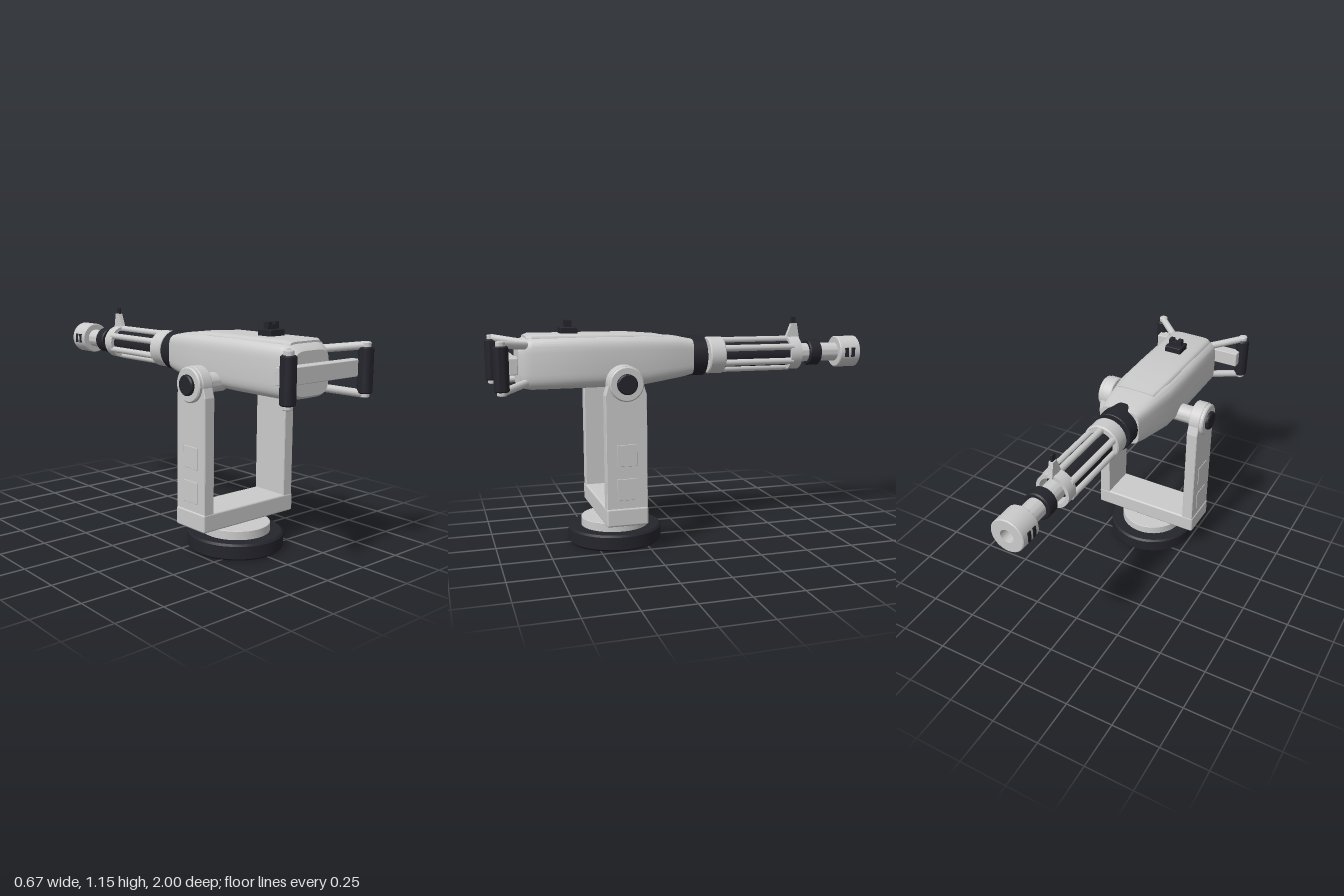
import * as THREE from 'three';
import { toCreasedNormals } from 'three/addons/utils/BufferGeometryUtils.js';
import { RoundedBoxGeometry } from 'three/addons/geometries/RoundedBoxGeometry.js';

const grey = new THREE.MeshStandardMaterial({ color: 0xcccccc });
const dark = new THREE.MeshStandardMaterial({ color: 0x24242c });
const AXIS_Y = 0.955; // barrel height
const MOUNT_Z = 0.38; // centre of the base and yoke
const PIVOT_Y = 0.855;

function add(parent, name, geometry, material, x = 0, y = 0, z = 0) {
  const mesh = new THREE.Mesh(geometry, material);
  mesh.name = name;
  mesh.position.set(x, y, z);
  parent.add(mesh);
  return mesh;
}

// Box given by its min and max corners
function box(parent, name, material, [x0, y0, z0], [x1, y1, z1], r = 0.006) {
  const geo = new RoundedBoxGeometry(x1 - x0, y1 - y0, z1 - z0, 2, r);
  return add(parent, name, geo, material, (x0 + x1) / 2, (y0 + y1) / 2, (z0 + z1) / 2);
}

// Turned part from [radius, height] points, sharp at the corners
function turned(points, segments = 40) {
  const geo = new THREE.LatheGeometry(points.map(([r, h]) => new THREE.Vector2(r, h)), segments);
  return toCreasedNormals(geo, 0.6);
}

// Turned part along the barrel; heights run towards the muzzle
function barrelPart(parent, name, material, points) {
  return add(parent, name, turned(points).rotateX(-Math.PI / 2), material, 0, AXIS_Y, 0);
}

// Solid disc profile with a small bevel
function disc(r, h0, h1, b = 0.006) {
  return [[0, h0], [r - b, h0], [r, h0 + b], [r, h1 - b], [r - b, h1], [0, h1]];
}

// Round rod between two points
function rod(parent, name, material, from, to, r) {
  const a = new THREE.Vector3(...from), b = new THREE.Vector3(...to);
  const dir = b.clone().sub(a);
  const mesh = add(parent, name, new THREE.CylinderGeometry(r, r, dir.length(), 16), material);
  mesh.position.copy(a).add(b).multiplyScalar(0.5);
  mesh.quaternion.setFromUnitVectors(new THREE.Vector3(0, 1, 0), dir.normalize());
  return mesh;
}

// Rounded-rectangle loft; sections are [z, halfWidth, bottom, top], from front to back
function loft(sections, power = 4.5, n = 48) {
  const pos = [], index = [];
  const bend = (v) => Math.sign(v) * Math.abs(v) ** (2 / power);
  for (const [z, w, y0, y1] of sections) {
    for (let j = 0; j < n; j++) {
      const a = (j / n) * Math.PI * 2;
      pos.push(w * bend(Math.cos(a)), (y0 + y1) / 2 + ((y1 - y0) / 2) * bend(Math.sin(a)), z);
    }
  }
  const last = (sections.length - 1) * n;
  for (const [z, , y0, y1] of [sections[0], sections.at(-1)]) pos.push(0, (y0 + y1) / 2, z);
  const c0 = last + n, c1 = c0 + 1;
  for (let j = 0; j < n; j++) {
    const k = (j + 1) % n;
    for (let i = 0; i < last; i += n) index.push(i + j, i + n + j, i + k, i + k, i + n + j, i + n + k);
    index.push(c0, j, k, c1, last + k, last + j);
  }
  const geo = new THREE.BufferGeometry();
  geo.setAttribute('position', new THREE.Float32BufferAttribute(pos, 3));
  geo.setIndex(index);
  return toCreasedNormals(geo, 0.6);
}

function makeMount() {
  const g = new THREE.Group();
  g.name = 'mount';
  add(g, 'basePlate', turned(disc(0.243, 0, 0.083, 0.01), 56), dark, 0, 0, MOUNT_Z);
  add(g, 'turntable', turned(disc(0.175, 0.08, 0.128, 0.002), 48), grey, 0, 0, MOUNT_Z);
  box(g, 'yokeCrossbar', grey, [-0.302, 0.148, 0.275], [0.302, 0.24, 0.485], 0.01);

  // Arm outline seen from the side, with a round head
  const outline = new THREE.Shape();
  outline.moveTo(-0.1, 0.22);
  outline.lineTo(0.1, 0.22);
  outline.lineTo(0.1, 0.8);
  outline.absarc(0, PIVOT_Y, 0.086, -0.1, Math.PI + 0.1, false);
  outline.lineTo(-0.1, 0.8);
  outline.closePath();
  const armGeo = new THREE.ExtrudeGeometry(outline, {
    depth: 0.052, bevelThickness: 0.004, bevelSize: 0.003, bevelSegments: 1, curveSegments: 24,
  }).rotateY(Math.PI / 2);

  for (const side of [1, -1]) {
    const arm = new THREE.Group();
    arm.name = side > 0 ? 'leftYokeArm' : 'rightYokeArm';
    arm.scale.x = side;
    add(arm, 'arm', armGeo, grey, 0.241, 0, MOUNT_Z);
    const along = (name, mat, r, x0, x1) =>
      add(arm, name, turned(disc(r, x0, x1)).rotateZ(-Math.PI / 2), mat, 0, PIVOT_Y, MOUNT_Z);
    along('hub', grey, 0.085, 0.236, 0.316);
    along('hubCap', dark, 0.05, 0.3, 0.333);
    along('trunnion', grey, 0.048, 0.1, 0.25);
    for (const y of [0.28, 0.45]) box(arm, 'armPanel', grey, [0.285, y, 0.33], [0.3, y + 0.108, 0.43], 0.002);
    g.add(arm);
  }
  return g;
}

function makeReceiver() {
  const g = new THREE.Group();
  g.name = 'receiver';
  add(g, 'housing', loft([
    [0.865, 0.112, 0.835, 1.04], [0.845, 0.128, 0.822, 1.06], [0.805, 0.153, 0.815, 1.078],
    [0.5, 0.155, 0.815, 1.079], [0.24, 0.153, 0.82, 1.077], [0.05, 0.125, 0.848, 1.062],
    [-0.025, 0.108, 0.862, 1.048],
  ]), grey);
  add(g, 'topCover', loft([
    [0.825, 0.1, 1.0, 1.078], [0.8, 0.118, 1.0, 1.086], [0.3, 0.118, 1.0, 1.085],
    [0.14, 0.105, 1.0, 1.073],
  ], 7), grey);

  // Notched rear sight
  box(g, 'rearSightBase', dark, [-0.046, 1.075, 0.565], [0.046, 1.116, 0.65], 0.004);
  for (const x of [-0.023, 0, 0.023]) {
    const top = x ? 1.15 : 1.138;
    box(g, 'rearSightLeaf', dark, [x - 0.0125, 1.11, 0.592], [x + 0.0125, top, 0.622], 0.001);
  }

  // Twin grips with their struts and cross bar
  box(g, 'gripCrossbar', grey, [-0.25, 0.91, 0.885], [0.25, 0.988, 0.945], 0.004);
  box(g, 'crossbarPost', grey, [-0.04, 0.925, 0.84], [0.04, 0.975, 0.9], 0.004);
  for (const side of [1, -1]) {
    const grip = new THREE.Group();
    grip.name = side > 0 ? 'leftGrip' : 'rightGrip';
    grip.scale.x = side;
    add(grip, 'handle', turned(disc(0.036, 0.833, 1.047), 24), dark, 0.252, 0, 0.962);
    for (const [yBody, yGrip] of [[1.035, 1.053], [0.858, 0.83]]) {
      rod(grip, 'gripStrut', grey, [0.105, yBody, 0.82], [0.25, yGrip, 0.96], 0.019);
      add(grip, 'strutEnd', turned(disc(0.023, -0.016, 0.016, 0.004), 20), grey, 0.252, yGrip, 0.962);
    }
    g.add(grip);
  }
  return g;
}

function makeBarrel() {
  const g = new THREE.Group();
  g.name = 'barrelAssembly';
  barrelPart(g, 'collar', dark, disc(0.104, -0.025, 0.105, 0.003));
  barrelPart(g, 'barrel', grey, disc(0.05, 0.08, 0.92));
  barrelPart(g, 'shroudFrontRing', grey, disc(0.097, 0.125, 0.212));
  barrelPart(g, 'shroudCore', dark, disc(0.066, 0.2, 0.595));
  barrelPart(g, 'shroudEndRing', grey,
    [[0.07, 0.585], [0.088, 0.585], [0.088, 0.648], [0.07, 0.648], [0.07, 0.585]]);
  for (let i = 0; i < 6; i++) {
    const a = Math.PI / 6 + (i * Math.PI) / 3;
    const x = 0.076 * Math.cos(a), y = AXIS_Y + 0.076 * Math.sin(a);
    rod(g, 'shroudRib', grey, [x, y, -0.2], [x, y, -0.6], 0.017);
  }
  barrelPart(g, 'barrelBand', dark, disc(0.07, 0.707, 0.775));
  // Muzzle with an open bore
  barrelPart(g, 'muzzle', grey, [[0, 0.88], [0.08, 0.88], [0.085, 0.885], [0.085, 0.996],
    [0.081, 1], [0.034, 1], [0.034, 0.925], [0, 0.925]]);
  for (const side of [1, -1]) {
    for (const z of [-0.917, -0.955]) {
      box(g, 'muzzleVent', dark, [side * 0.083 - 0.004, 0.93, z - 0.011], [side * 0.083 + 0.004, 0.98, z + 0.011], 0.001);
    }
  }

  // Front sight: tapered foot with a thin post
  const foot = new THREE.Shape([[0.582, 1.035], [0.66, 1.035], [0.645, 1.115], [0.615, 1.115]]
    .map(([d, y]) => new THREE.Vector2(d, y)));
  const footGeo = new THREE.ExtrudeGeometry(foot, { depth: 0.024, bevelEnabled: false }).rotateY(Math.PI / 2);
  add(g, 'frontSightFoot', footGeo, grey, -0.012, 0, 0);
  box(g, 'frontSightPost', dark, [-0.006, 1.105, -0.641], [0.006, 1.15, -0.614], 0.002);
  return g;
}

export function createModel() {
  const model = new THREE.Group();
  model.name = 'mountedGun';
  model.add(makeMount(), makeReceiver(), makeBarrel());
  return model;
}
